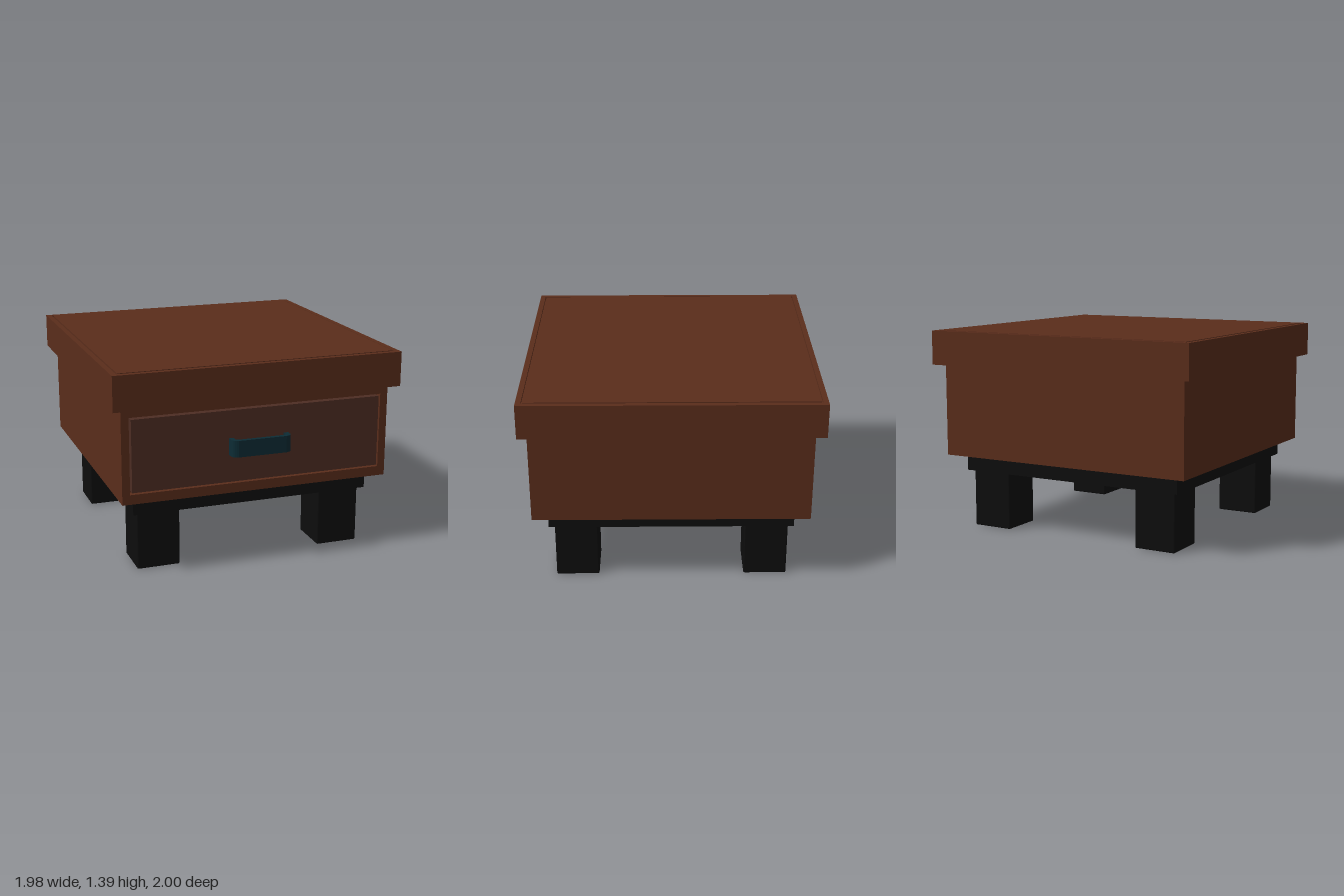
import * as THREE from 'three';
import { RoundedBoxGeometry } from 'three/addons/geometries/RoundedBoxGeometry.js';

const material = (color) => new THREE.MeshStandardMaterial({ color });
const wood = material(0x5a2d1b);
const drawerWood = material(0x4d2d23);
const black = material(0x0d0d0d);
const teal = material(0x0d2c35);

function add(group, name, geometry, mat, x = 0, y = 0, z = 0) {
  const mesh = new THREE.Mesh(geometry, mat);
  mesh.name = name;
  mesh.position.set(x, y, z);
  group.add(mesh);
  return mesh;
}

// Box given by its lower and upper limits on each axis
function slab(group, name, mat, [x0, x1], [y0, y1], [z0, z1]) {
  return add(group, name, new THREE.BoxGeometry(x1 - x0, y1 - y0, z1 - z0), mat,
    (x0 + x1) / 2, (y0 + y1) / 2, (z0 + z1) / 2);
}

function trace(target, x0, x1, y0, y1) {
  target.moveTo(x0, y0);
  target.lineTo(x1, y0);
  target.lineTo(x1, y1);
  target.lineTo(x0, y1);
  target.closePath();
  return target;
}

// Rectangular frame, extruded towards +z
function frame(outer, inner, depth) {
  const shape = trace(new THREE.Shape(), ...outer);
  shape.holes.push(trace(new THREE.Path(), ...inner));
  return new THREE.ExtrudeGeometry(shape, { depth, bevelEnabled: false });
}

export function createModel() {
  const model = new THREE.Group();
  model.name = 'nightstand';

  // Table top: slab, raised rim and inlaid panel with a fine groove between
  slab(model, 'topSlab', wood, [-0.988, 0.988], [1.15, 1.37], [-1, 0.978]);
  const rim = frame([-0.988, 0.988, -1, 0.978], [-0.952, 0.952, -0.964, 0.942], 0.015);
  rim.rotateX(Math.PI / 2);
  add(model, 'topRim', rim, wood, 0, 1.385, 0);
  slab(model, 'topPanel', wood, [-0.943, 0.943], [1.36, 1.387], [-0.955, 0.933]);

  // Cabinet with a framed drawer opening
  slab(model, 'cabinet', wood, [-0.925, 0.925], [0.515, 1.15], [-0.935, 0.87]);
  add(model, 'cabinetFrontFrame',
    frame([-0.925, 0.925, 0.515, 1.15], [-0.873, 0.873, 0.58, 1.092], 0.05),
    wood, 0, 0, 0.87);
  slab(model, 'drawerFront', drawerWood, [-0.86, 0.86], [0.593, 1.079], [0.86, 0.924]);

  // Bow handle, bent from a flat strip with rounded corners
  const strip = new THREE.Shape();
  strip.moveTo(-0.206, 0.92);
  strip.lineTo(-0.206, 0.966);
  strip.quadraticCurveTo(-0.202, 0.992, -0.165, 1);
  strip.lineTo(0.165, 1);
  strip.quadraticCurveTo(0.202, 0.992, 0.206, 0.966);
  strip.lineTo(0.206, 0.92);
  strip.lineTo(0.175, 0.92);
  strip.lineTo(0.175, 0.957);
  strip.quadraticCurveTo(0.173, 0.968, 0.155, 0.972);
  strip.lineTo(-0.155, 0.972);
  strip.quadraticCurveTo(-0.173, 0.968, -0.175, 0.957);
  strip.lineTo(-0.175, 0.92);
  strip.closePath();
  const handle = new THREE.ExtrudeGeometry(strip, { depth: 0.112, bevelEnabled: false, curveSegments: 5 });
  handle.rotateX(Math.PI / 2);
  add(model, 'drawerHandle', handle, teal, 0, 0.892, 0);

  // Plinth and four legs
  slab(model, 'plinth', black, [-0.828, 0.828], [0.4, 0.515], [-0.838, 0.82]);
  const leg = new RoundedBoxGeometry(0.294, 0.43, 0.294, 2, 0.01);
  for (const [side, sx] of [['Left', 1], ['Right', -1]]) {
    for (const [end, sz] of [['front', 1], ['back', -1]]) {
      add(model, `${end}${side}Leg`, leg, black, sx * 0.648, 0.215, sz * 0.645 - 0.01);
    }
  }

  return model;
}
